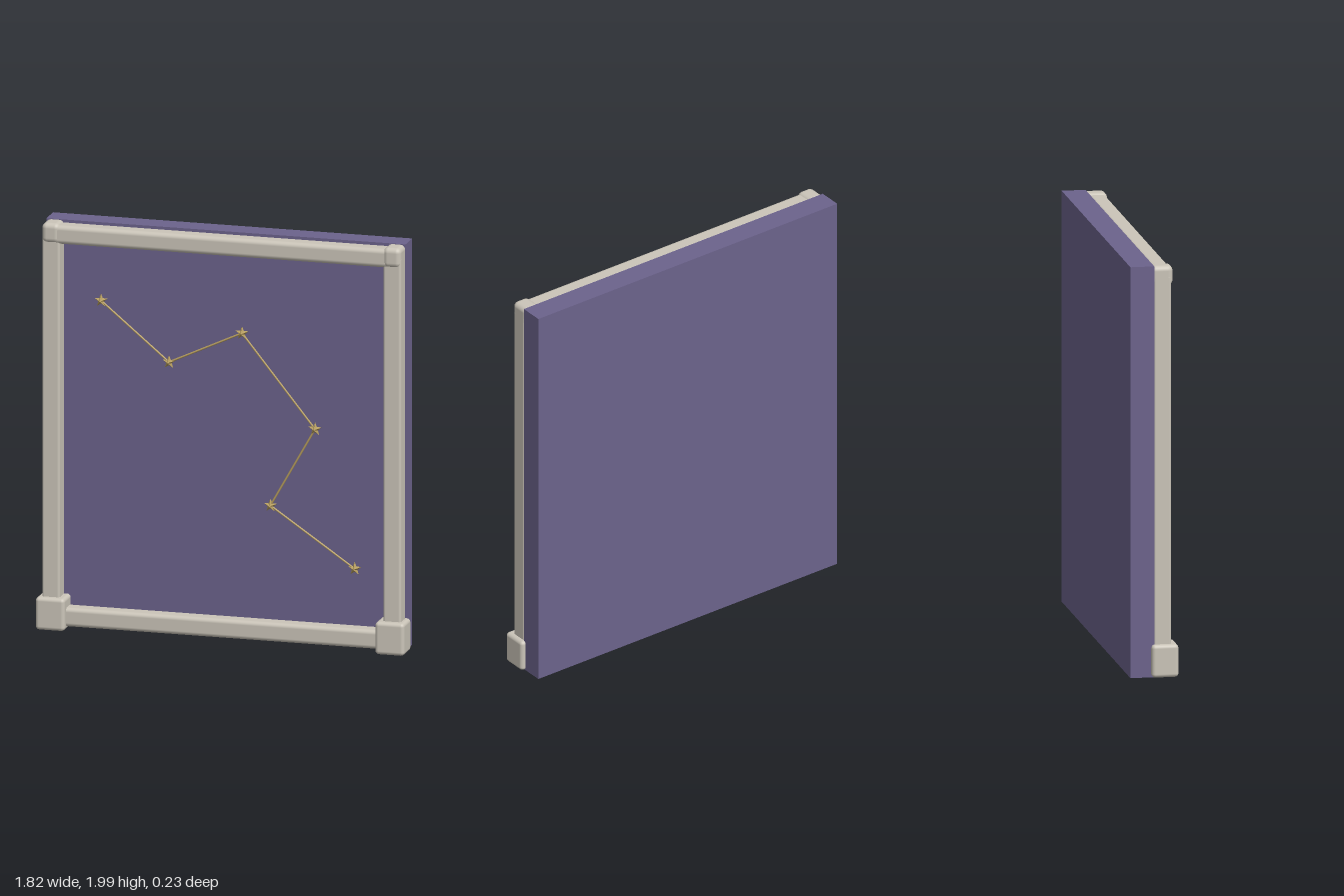
import * as THREE from 'three';
import { RoundedBoxGeometry } from 'three/addons/geometries/RoundedBoxGeometry.js';

export function createModel() {
  const model = new THREE.Group();
  model.name = 'constellationPanel';

  const mat = (name, color) => {
    const m = new THREE.MeshStandardMaterial({ color });
    m.name = name;
    return m;
  };
  const purple = mat('dusk purple', 0x6c638c);
  const stone = mat('pale stone', 0xcbc5b9);
  const gold = mat('antique gold', 0xb89f62);

  const add = (name, geometry, material, x, y, z, parent = model) => {
    const mesh = new THREE.Mesh(geometry, material);
    mesh.name = name;
    mesh.position.set(x, y, z);
    parent.add(mesh);
    return mesh;
  };

  // Softly bevelled block given by its limits on each axis
  const block = (name, [x0, x1], [y0, y1], [z0, z1], radius) =>
    add(name, new RoundedBoxGeometry(x1 - x0, y1 - y0, z1 - z0, 3, radius), stone,
      (x0 + x1) / 2, (y0 + y1) / 2, (z0 + z1) / 2);

  // Backing slab
  add('backPanel', new THREE.BoxGeometry(1.77, 1.992, 0.115), purple, 0, 1.002, -0.0575);

  // Frame rails
  block('topRail', [-0.87, 0.87], [1.897, 1.988], [-0.004, 0.087], 0.022);
  block('bottomRail', [-0.79, 0.79], [0.023, 0.115], [-0.004, 0.085], 0.02);

  // Posts, top caps and feet on both sides
  for (const [side, s] of [['left', 1], ['right', -1]]) {
    const span = (a, b) => (s > 0 ? [a, b] : [-b, -a]);
    block(side + 'Post', span(0.797, 0.885), [0.08, 1.95], [-0.003, 0.083], 0.012);
    block(side + 'Cap', span(0.797, 0.885), [1.9, 1.997], [-0.015, 0.092], 0.025);
    block(side + 'Foot', span(0.765, 0.909), [0.006, 0.165], [-0.015, 0.115], 0.018);
  }

  // Five-pointed star, raised to a ridge in the centre
  const starGeometry = (outer, inner, height) => {
    const rim = (i) => {
      const a = Math.PI / 2 + (i * Math.PI) / 5;
      const r = i % 2 ? inner : outer;
      return [r * Math.cos(a), r * Math.sin(a), 0];
    };
    const points = [];
    for (let i = 0; i < 10; i++) points.push(...rim(i), ...rim(i + 1), 0, 0, height);
    const g = new THREE.BufferGeometry();
    g.setAttribute('position', new THREE.Float32BufferAttribute(points, 3));
    g.computeVertexNormals();
    return g;
  };

  // Constellation of stars joined by thin rods
  const constellation = new THREE.Group();
  constellation.name = 'constellation';
  model.add(constellation);
  const stars = [
    [-0.615, 1.615], [-0.28, 1.337], [0.08, 1.505],
    [0.44, 1.06], [0.22, 0.67], [0.635, 0.39],
  ];
  const star = starGeometry(0.034, 0.015, 0.024);
  stars.forEach(([x, y], i) => {
    add('star', star, gold, x, y, 0.003, constellation);
    if (i === 0) return;
    const [px, py] = stars[i - 1];
    const length = Math.hypot(x - px, y - py);
    const rod = add('starLink', new THREE.CylinderGeometry(0.005, 0.005, length, 8), gold,
      (x + px) / 2, (y + py) / 2, 0.004, constellation);
    rod.rotation.z = Math.atan2(y - py, x - px) - Math.PI / 2;
  });

  return model;
}
